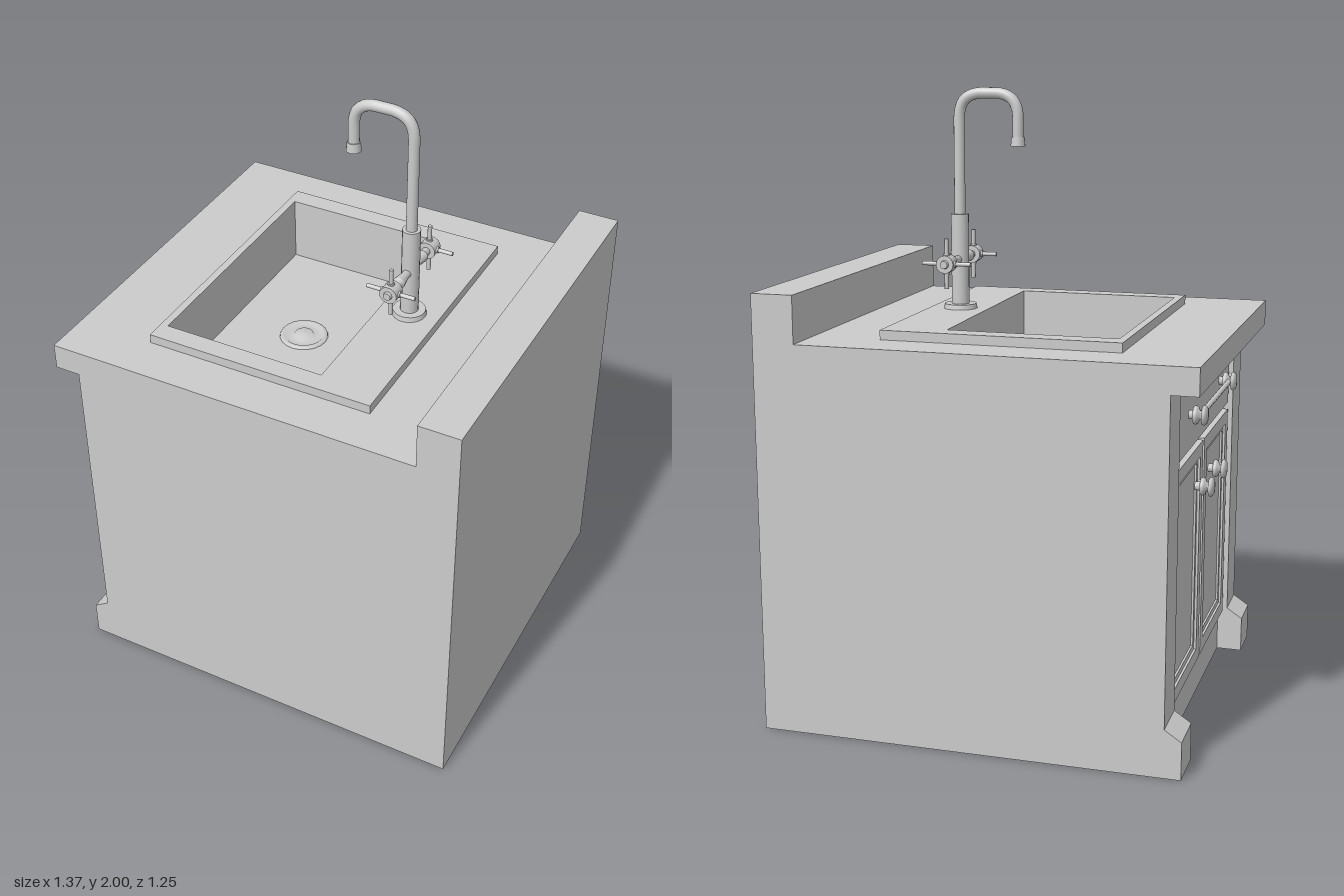
import * as THREE from 'three';

const mat = new THREE.MeshStandardMaterial({ color: 0xcccccc });

export function createModel() {
  const model = new THREE.Group();
  const add = (name, geo, parent = model) => {
    const m = new THREE.Mesh(geo, mat);
    m.name = name;
    parent.add(m);
    return m;
  };
  // Box given by its limits
  const box = (name, x0, x1, y0, y1, z0, z1, parent) =>
    add(name, new THREE.BoxGeometry(x1 - x0, y1 - y0, z1 - z0)
      .translate((x0 + x1) / 2, (y0 + y1) / 2, (z0 + z1) / 2), parent);
  const rect = (T, a0, a1, b0, b1) => new T([[a0, b0], [a1, b0], [a1, b1], [a0, b1]]
    .map(p => new THREE.Vector2(...p)));
  const lathe = (pts, seg = 16) =>
    new THREE.LatheGeometry(pts.map(p => new THREE.Vector2(...p)), seg);

  // Horizontal slab with the basin opening cut through it
  const slab = (name, x0, x1, zHalf, y0, y1) => {
    const s = rect(THREE.Shape, x0, x1, -zHalf, zHalf);
    s.holes.push(rect(THREE.Path, -0.405, 0.135, -0.41, 0.41));
    add(name, new THREE.ExtrudeGeometry(s, { depth: y1 - y0, bevelEnabled: false })
      .rotateX(-Math.PI / 2).translate(0, y0, 0));
  };
  // Upright picture-frame moulding on the cabinet face, facing -x
  const frame = (name, z0, z1, y0, y1, w, xBack, xFront, parent) => {
    const s = rect(THREE.Shape, z0, z1, y0, y1);
    s.holes.push(rect(THREE.Path, z0 + w, z1 - w, y0 + w, y1 - w));
    add(name, new THREE.ExtrudeGeometry(s, { depth: xBack - xFront, bevelEnabled: false })
      .rotateY(-Math.PI / 2).translate(xBack, 0, 0), parent);
  };

  // Cabinet body, counter, splash and sink rim
  const floorY = 1.06;
  box('cabinetBody', -0.572, 0.685, 0, floorY, -0.625, 0.625);
  slab('cabinetTop', -0.572, 0.685, 0.625, floorY, 1.165);
  slab('counter', -0.688, 0.685, 0.625, 1.165, 1.25);
  box('backsplash', 0.55, 0.685, 1.25, 1.4, -0.625, 0.625);
  slab('sinkRim', -0.43, 0.33, 0.475, 1.25, 1.28);

  // Drain
  add('drain', lathe([[0.08, 0], [0.078, 0.006], [0.066, 0.008], [0.06, 0.002],
    [0.034, 0.002], [0.03, 0.01], [0, 0.012]], 20).translate(-0.15, floorY, 0));

  // Knob with its axis along -x
  const knob = (name, y, z, parent) => add(name,
    lathe([[0.014, 0], [0.014, 0.016], [0.027, 0.018], [0.03, 0.025], [0.026, 0.032], [0.015, 0.036],
      [0.015, 0.042], [0.029, 0.045], [0.032, 0.052], [0.024, 0.06], [0, 0.063]])
      .rotateZ(Math.PI / 2).translate(-0.588, y, z), parent);

  // Corner posts, feet and doors, mirrored
  const footProfile = new THREE.Shape([[-0.57, 0], [-0.57, 0.155], [-0.605, 0.155],
    [-0.658, 0.12], [-0.658, 0]].map(p => new THREE.Vector2(...p)));
  for (const s of [-1, 1]) {
    const span = (a, b) => s > 0 ? [a, b] : [-b, -a];
    box('cornerPost', -0.605, -0.572, 0, 1.165, ...span(0.475, 0.625));
    add('foot', new THREE.ExtrudeGeometry(footProfile, { depth: 0.15, bevelEnabled: false })
      .translate(0, 0, span(0.475, 0.625)[0]));
    const door = new THREE.Group();
    door.name = s > 0 ? 'leftDoor' : 'rightDoor';
    const [z0, z1] = span(0.012, 0.455);
    frame('doorFrame', z0, z1, 0.15, 0.89, 0.045, -0.572, -0.592, door);
    frame('doorMoulding', z0 + 0.045, z1 - 0.045, 0.195, 0.845, 0.018, -0.572, -0.584, door);
    box('doorPanel', -0.577, -0.572, 0.213, 0.827, z0 + 0.063, z1 - 0.063, door);
    knob('doorKnob', 0.765, s * 0.116, door);
    model.add(door);
  }

  // Drawer front with a bar handle between two knobs
  box('drawerFront', -0.592, -0.572, 0.915, 1.12, -0.455, 0.455);
  for (const s of [-1, 1]) knob('drawerKnob', 1.03, s * 0.265);
  add('drawerBar', new THREE.CylinderGeometry(0.009, 0.009, 0.53, 12)
    .rotateX(Math.PI / 2).translate(-0.626, 1.03, 0));

  // Tap: base, column, bent spout and nozzle
  const tap = new THREE.Group();
  tap.name = 'tap';
  tap.position.set(0.23, 1.28, 0);
  model.add(tap);
  add('tapBase', new THREE.CylinderGeometry(0.052, 0.055, 0.016, 24).translate(0, 0.008, 0), tap);
  add('tapColumn', new THREE.CylinderGeometry(0.029, 0.029, 0.31, 16).translate(0, 0.155, 0), tap);
  const V = (x, y) => new THREE.Vector3(x, y, 0);
  const path = new THREE.CurvePath();
  path.add(new THREE.LineCurve3(V(0, 0.3), V(0, 0.61)));
  path.add(new THREE.CubicBezierCurve3(V(0, 0.61), V(0, 0.67), V(-0.02, 0.692), V(-0.07, 0.699)));
  path.add(new THREE.LineCurve3(V(-0.07, 0.699), V(-0.13, 0.699)));
  path.add(new THREE.CubicBezierCurve3(V(-0.13, 0.699), V(-0.175, 0.695), V(-0.198, 0.67), V(-0.198, 0.62)));
  path.add(new THREE.LineCurve3(V(-0.198, 0.62), V(-0.198, 0.55)));
  add('spout', new THREE.TubeGeometry(path, 64, 0.018, 14), tap);
  add('nozzle', new THREE.CylinderGeometry(0.021, 0.024, 0.03, 16).translate(-0.198, 0.547, 0), tap);

  // Two cross handles
  for (const s of [-1, 1]) {
    const handle = new THREE.Group();
    handle.name = s > 0 ? 'frontHandle' : 'backHandle';
    handle.position.y = 0.163;
    handle.rotation.y = s > 0 ? 0 : Math.PI;
    tap.add(handle);
    add('handleArm', lathe([[0.014, 0.02], [0.013, 0.04], [0.02, 0.082], [0.02, 0.086],
      [0.015, 0.09], [0.013, 0.12]]).rotateX(Math.PI / 2), handle);
    add('handleHub', new THREE.CylinderGeometry(0.029, 0.029, 0.044, 16)
      .rotateX(Math.PI / 2).translate(0, 0, 0.137), handle);
    add('handleCap', new THREE.CylinderGeometry(0.012, 0.015, 0.012, 12)
      .rotateX(Math.PI / 2).translate(0, 0, 0.162), handle);
    for (const a of [0, Math.PI / 2]) {
      add('crossBar', new THREE.CylinderGeometry(0.007, 0.007, 0.162, 10)
        .rotateZ(a).translate(0, 0, 0.137), handle);
      add('crossBarCollar', new THREE.CylinderGeometry(0.011, 0.011, 0.066, 10)
        .rotateZ(a).translate(0, 0, 0.137), handle);
    }
  }
  return model;
}
